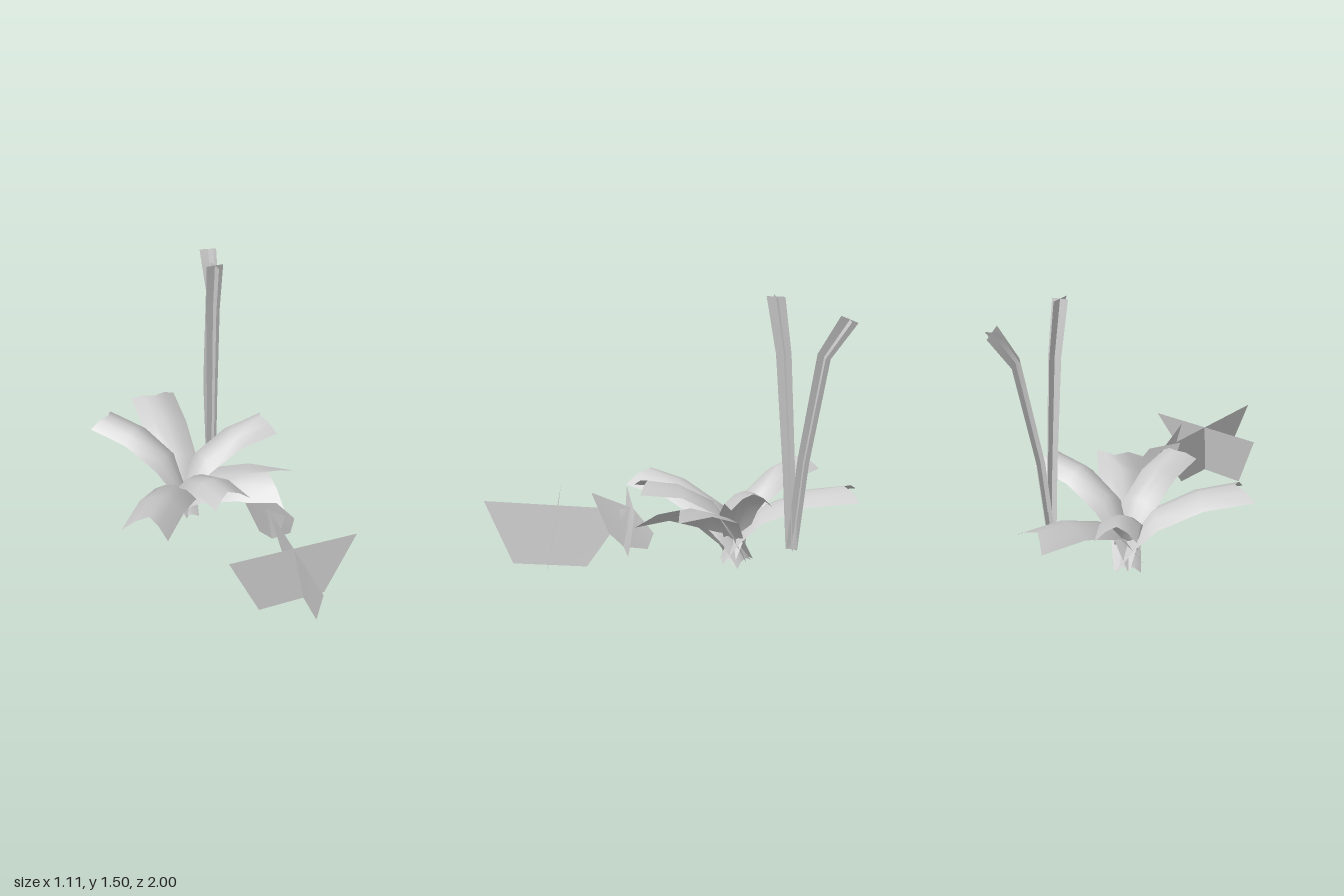
import * as THREE from 'three';

const leafGrey = new THREE.MeshStandardMaterial({ color: 0xcccccc, side: THREE.DoubleSide });
leafGrey.name = 'leafGrey';

const V = (x, y, z) => new THREE.Vector3(x, y, z);

// Surface through rows of points, all rows of equal length
function sheet(name, rows) {
  const n = rows[0].length, index = [];
  for (let i = 0; i < rows.length - 1; i++) {
    for (let j = 0; j < n - 1; j++) {
      const a = i * n + j, b = a + 1, c = a + n, d = c + 1;
      index.push(a, b, c, b, d, c);
    }
  }
  const geometry = new THREE.BufferGeometry().setFromPoints(rows.flat());
  geometry.setIndex(index);
  geometry.computeVertexNormals();
  const mesh = new THREE.Mesh(geometry, leafGrey);
  mesh.name = name;
  return mesh;
}

// Flat leaf card: rim points joined to their centre
function card(name, rim) {
  const centre = rim.reduce((s, p) => s.add(p), V(0, 0, 0)).divideScalar(rim.length);
  const index = rim.flatMap((_, i) => [0, i + 1, ((i + 1) % rim.length) + 1]);
  const geometry = new THREE.BufferGeometry().setFromPoints([centre, ...rim]);
  geometry.setIndex(index);
  geometry.computeVertexNormals();
  const mesh = new THREE.Mesh(geometry, leafGrey);
  mesh.name = name;
  return mesh;
}

// Arched frond rising from the crown to a forked tip: corner a, notch n, corner b
const crown = V(0.01, 0, -0.33);
function frond(a, n, b) {
  const reach = a.clone().add(b).multiplyScalar(0.5).sub(crown).setY(0);
  const half = a.clone().sub(b).multiplyScalar(0.5).setY(0);
  // fraction of reach, fraction of height, width, droop of the edges
  const stations = [
    [-0.1, 0.1, 0.55, 0.5],
    [0.04, 0.4, 0.6, 0.7],
    [0.22, 0.73, 0.95, 1],
    [0.58, 0.94, 1, 1],
  ];
  const across = [1, 0.5, 0, -0.5, -1];
  const rows = stations.map(([f, h, w, droop]) => across.map((u) => {
    const edge = u > 0 ? a : b;
    const p = crown.clone().addScaledVector(reach, f).addScaledVector(half, u * w);
    p.y = n.y * h - (n.y - edge.y) * u * u * droop;
    return p;
  }));
  rows.push(across.map((u) => {
    const edge = u > 0 ? a : b;
    const p = n.clone().lerp(edge, Math.abs(u));
    p.y = n.y - (n.y - edge.y) * u * u;
    return p;
  }));
  return sheet('frond', rows);
}

// Tall reed made of two crossed ribbons that follow the same spine
function reed(name, spine, halfWidths, sideX, sideZ) {
  const group = new THREE.Group();
  group.name = name;
  for (const side of [sideX, sideZ]) {
    group.add(sheet('reedRibbon', spine.map((p, i) => [
      p.clone().addScaledVector(side, -halfWidths[i]),
      p.clone(),
      p.clone().addScaledVector(side, halfWidths[i]),
    ])));
  }
  return group;
}

export function createModel() {
  const model = new THREE.Group();
  model.name = 'plants';

  // Fern with six fronds
  const fern = new THREE.Group();
  fern.name = 'fern';
  const tips = [
    [V(0.026, 0.4, -1.0), V(0.13, 0.445, -0.9), V(0.28, 0.39, -0.94)],
    [V(-0.355, 0.47, -0.75), V(-0.24, 0.525, -0.755), V(-0.175, 0.465, -0.85)],
    [V(0.555, 0.475, -0.4), V(0.5, 0.535, -0.31), V(0.54, 0.47, -0.19)],
    [V(0.49, 0.4, 0.065), V(0.345, 0.425, 0.03), V(0.31, 0.335, 0.255)],
    [V(-0.085, 0.45, 0.2), V(0.02, 0.497, 0.145), V(0.127, 0.45, 0.2)],
    [V(-0.555, 0.395, 0.03), V(-0.41, 0.447, 0.065), V(-0.375, 0.37, 0.205)],
  ];
  for (const [a, n, b] of tips) fern.add(frond(a, n, b));
  // Stand the fern on the ground
  const low = new THREE.Box3().setFromObject(fern).min.y;
  fern.position.y = -Math.min(low, 0);
  model.add(fern);

  // Two reeds growing from one root
  model.add(reed('uprightReed',
    [V(0.325, 0.18, -0.56), V(0.318, 0.6, -0.54), V(0.303, 1.2, -0.505), V(0.29, 1.49, -0.463)],
    [0.032, 0.034, 0.042, 0.05], V(1, -0.1, 0.02), V(0.05, -0.05, -0.95)));
  model.add(reed('bentReed',
    [V(0.322, 0.18, -0.563), V(0.336, 0.65, -0.61), V(0.402, 1.2, -0.685), V(0.44, 1.388, -0.8)],
    [0.032, 0.034, 0.038, 0.05], V(1, -0.15, 0.1), V(-0.15, -0.4, -0.95)));

  // Large crossed shrub
  const shrub = new THREE.Group();
  shrub.name = 'largeShrub';
  shrub.add(
    card('shrubCard', [
      V(-0.227, 0.44, 0.577), V(0.49, 0.403, 0.673), V(0.283, 0.11, 0.704), V(-0.09, 0.12, 0.655)]),
    card('shrubCard', [
      V(0.058, 0.443, 1.0), V(0.195, 0.4, 0.275), V(0.2, 0.107, 0.49), V(0.127, 0.122, 0.863)]),
  );
  model.add(shrub);

  // Small crossed shrub
  const sprout = new THREE.Group();
  sprout.name = 'smallShrub';
  sprout.add(
    card('sproutCard', [
      V(0.06, 0.488, 0.26), V(0.26, 0.4, 0.25), V(0.36, 0.273, 0.285),
      V(0.33, 0.19, 0.295), V(0.21, 0.205, 0.3), V(0.135, 0.28, 0.285)]),
    card('sproutCard', [
      V(0.18, 0.495, 0.46), V(0.182, 0.4, 0.245), V(0.217, 0.273, 0.145),
      V(0.222, 0.19, 0.177), V(0.208, 0.205, 0.3), V(0.2, 0.28, 0.375)]),
  );
  model.add(sprout);
  return model;
}
